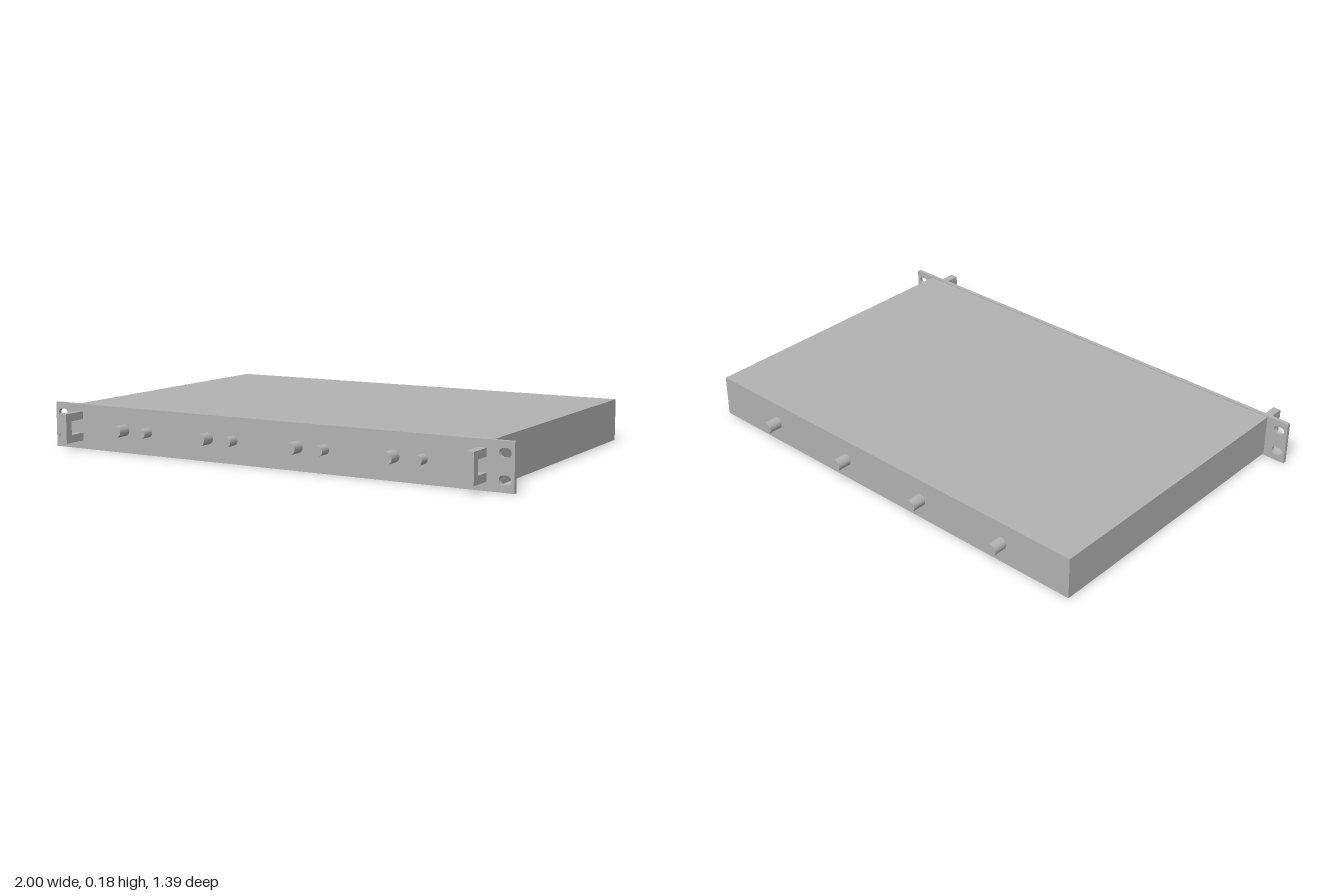
import * as THREE from 'three';

const MID_Y = 0.09; // height of the centre line
const FRONT = 0.595; // z of the faceplate's front surface
const BACK = -0.637; // z of the chassis' rear surface

export function createModel() {
  const metal = new THREE.MeshStandardMaterial({ color: 0xb2b2b2 });
  metal.name = 'grey metal';
  const model = new THREE.Group();
  model.name = 'rackUnit';

  function add(name, geometry, x, y, z) {
    const mesh = new THREE.Mesh(geometry, metal);
    mesh.name = name;
    mesh.position.set(x, y, z);
    model.add(mesh);
    return mesh;
  }

  // cylinder along z, from z0 to z1
  function knob(name, x, radius, z0, z1) {
    const geometry = new THREE.CylinderGeometry(radius, radius, z1 - z0, 32).rotateX(Math.PI / 2);
    add(name, geometry, x, MID_Y, (z0 + z1) / 2);
  }

  // chassis
  const chassisDepth = 0.58 - BACK;
  add('chassis', new THREE.BoxGeometry(1.814, 0.168, chassisDepth), 0, 0.091, BACK + chassisDepth / 2);

  // faceplate with rounded mounting slots
  const plate = new THREE.Shape();
  plate.moveTo(-1, 0).lineTo(1, 0).lineTo(1, 0.179).lineTo(-1, 0.179).closePath();
  const slotRadius = 0.017;
  for (const x of [-0.965, 0.965]) {
    for (const y of [0.043, 0.137]) {
      const slot = new THREE.Path();
      slot.absarc(x + 0.006, y, slotRadius, -Math.PI / 2, Math.PI / 2, false);
      slot.absarc(x - 0.006, y, slotRadius, Math.PI / 2, Math.PI * 1.5, false);
      slot.closePath();
      plate.holes.push(slot);
    }
  }
  add('faceplate', new THREE.ExtrudeGeometry(plate, { depth: 0.016, bevelEnabled: false, curveSegments: 16 }),
    0, 0, FRONT - 0.016);

  // C-shaped handles: profile drawn as (depth, height), extruded across x
  const grip = new THREE.Shape();
  grip.moveTo(0, 0.033).lineTo(0.1, 0.033).lineTo(0.1, 0.15).lineTo(0, 0.15);
  grip.lineTo(0, 0.119).lineTo(0.069, 0.119).lineTo(0.069, 0.064).lineTo(0, 0.064).closePath();
  const gripGeometry = new THREE.ExtrudeGeometry(grip, { depth: 0.032, bevelEnabled: false });
  gripGeometry.rotateY(-Math.PI / 2).translate(0.016, 0, 0);
  add('rightHandle', gripGeometry, -0.88, 0, FRONT);
  add('leftHandle', gripGeometry, 0.88, 0, FRONT);

  // four channels: large and small front knobs, rear connector
  for (let i = 0; i < 4; i++) {
    const step = i * 0.398;
    knob('largeKnob', -0.655 + step, 0.023, FRONT - 0.005, 0.652);
    knob('smallKnob', -0.54 + step, 0.019, FRONT - 0.005, 0.642);
    knob('rearConnector', -0.597 + step, 0.024, -0.695, BACK + 0.005);
  }

  return model;
}
